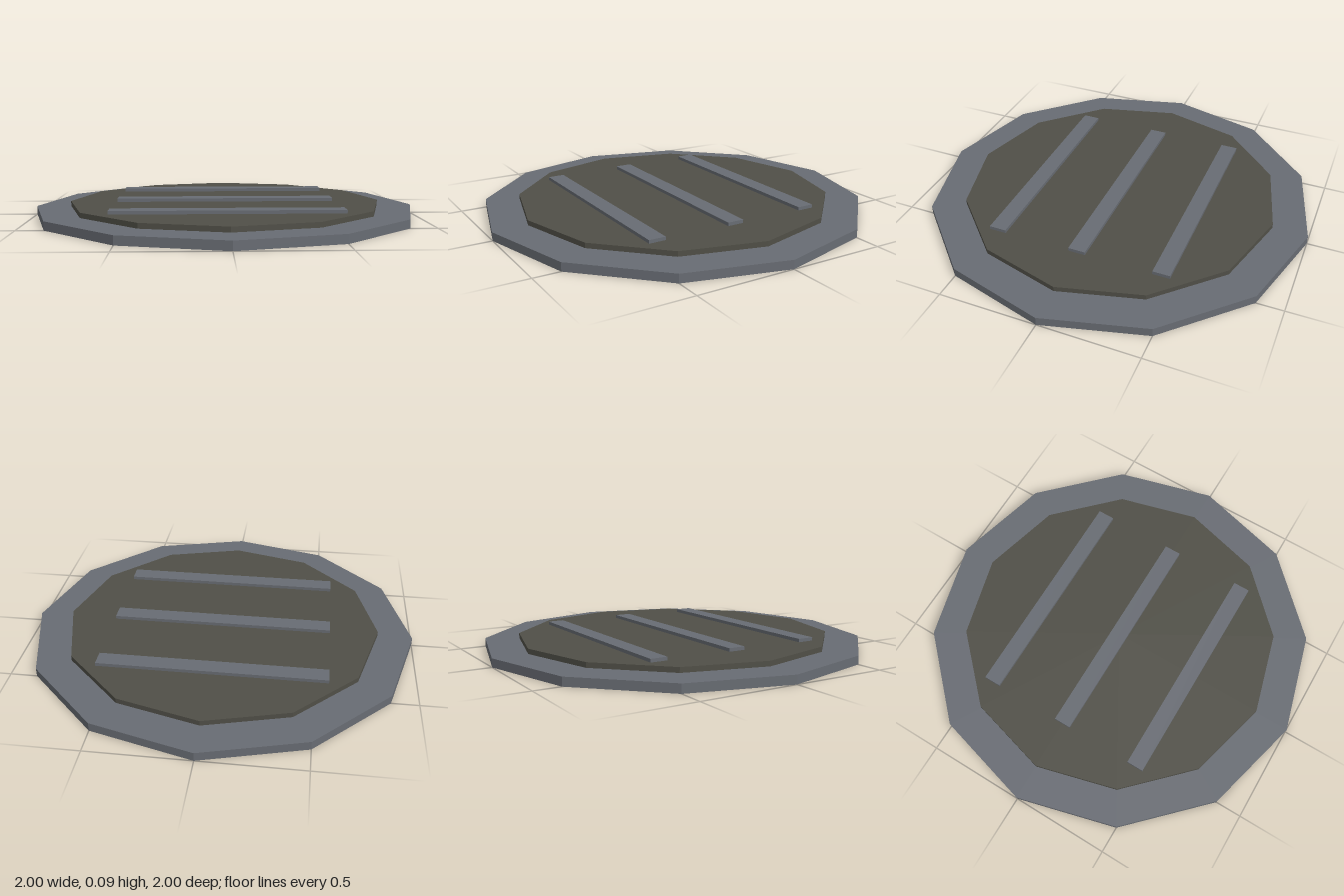
import * as THREE from 'three';

export function createModel() {
  const group = new THREE.Group();
  const steel = new THREE.MeshStandardMaterial({ color: 0x686c73, flatShading: true });
  const dark = new THREE.MeshStandardMaterial({ color: 0x504f47, flatShading: true });

  function add(name, geometry, material, y, z = 0) {
    const mesh = new THREE.Mesh(geometry, material);
    mesh.name = name;
    mesh.position.set(0, y, z);
    group.add(mesh);
  }

  // Twelve-sided disc standing on the height y0
  function disc(name, radius, y0, y1, material) {
    add(name, new THREE.CylinderGeometry(radius, radius, y1 - y0, 12), material, (y0 + y1) / 2);
  }

  // Wide rim plate with the raised cover on it
  disc('rimPlate', 1, 0, 0.044, steel);
  disc('coverPlate', 0.82, 0.02, 0.07, dark);

  // Three grip bars across the cover
  const bar = new THREE.BoxGeometry(1.14, 0.035, 0.087);
  [-0.43, 0, 0.43].forEach((z, i) => add(`gripBar${i + 1}`, bar, steel, 0.0695, z));

  return group;
}
